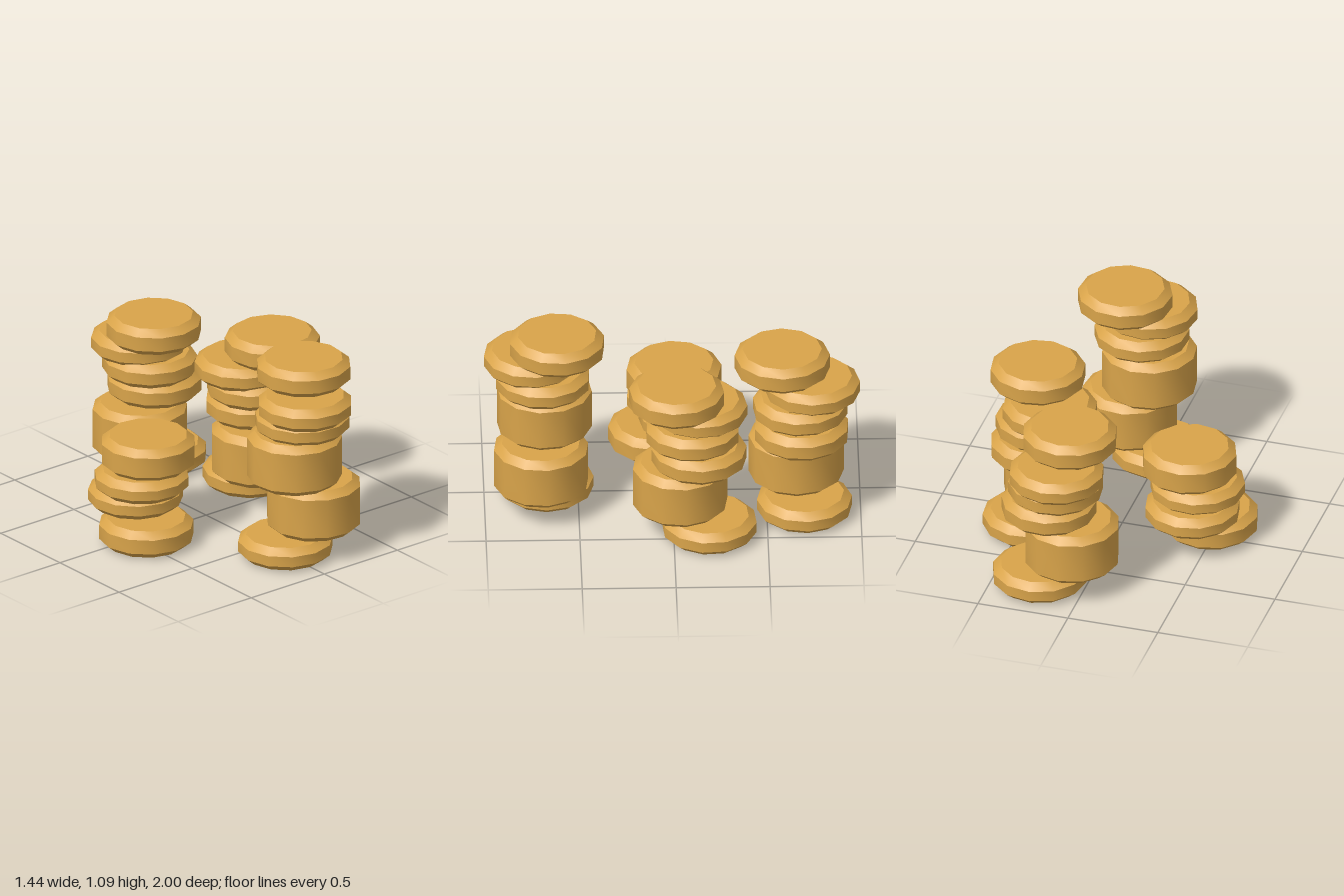
import * as THREE from 'three';
import { toCreasedNormals } from 'three/addons/utils/BufferGeometryUtils.js';

const RADIUS = 0.254, FACE_RADIUS = 0.211, BEVEL = 0.036, SIDES = 12;

// Each coin: [x, z, bottom, top, turn in degrees]
const STACKS = {
  frontStack: [
    [0.0, 0.67, 0, 0.13, 0],
    [0.17, 0.70, 0.13, 0.42, 8],
    [0.055, 0.68, 0.42, 0.71, -7],
    [0.10, 0.69, 0.70, 0.83, 12],
    [0.07, 0.75, 0.81, 0.94, 6],
    [0.17, 0.615, 0.94, 1.085, 9],
  ],
  leftSideStack: [
    [-0.47, 0.075, 0, 0.152, 0],
    [-0.415, -0.085, 0.152, 0.28, -4],
    [-0.425, -0.02, 0.265, 0.39, 10],
    [-0.38, -0.02, 0.387, 0.57, 5],
  ],
  rightSideStack: [
    [0.455, -0.19, 0, 0.13, -10],
    [0.385, -0.035, 0.13, 0.42, 7],
    [0.43, -0.135, 0.42, 0.56, 3],
    [0.41, -0.10, 0.55, 0.685, 14],
    [0.36, -0.14, 0.66, 0.79, -5],
    [0.465, -0.015, 0.79, 0.94, -6],
  ],
  backStack: [
    [0.247, -0.70, 0, 0.13, 4],
    [0.08, -0.66, 0.13, 0.42, 0],
    [0.20, -0.685, 0.42, 0.56, 11],
    [0.165, -0.68, 0.55, 0.685, -8],
    [0.14, -0.745, 0.66, 0.79, -2],
    [0.115, -0.585, 0.79, 0.94, 0],
  ],
};

// Twelve-sided disc with bevelled rims, smooth around and creased at the bevels
function coinGeometry(height) {
  const profile = [
    [0, 0], [FACE_RADIUS, 0], [RADIUS, BEVEL],
    [RADIUS, height - BEVEL], [FACE_RADIUS, height], [0, height],
  ].map(([r, y]) => new THREE.Vector2(r, y));
  return toCreasedNormals(new THREE.LatheGeometry(profile, SIDES), 0.6);
}

export function createModel() {
  const gold = new THREE.MeshStandardMaterial({ color: 0xd9a44a });
  gold.name = 'gold';

  const model = new THREE.Group();
  model.name = 'coinStacks';
  for (const [name, coins] of Object.entries(STACKS)) {
    const stack = new THREE.Group();
    stack.name = name;
    coins.forEach(([x, z, bottom, top, turn], i) => {
      const coin = new THREE.Mesh(coinGeometry(top - bottom), gold);
      coin.name = `coin${i + 1}`;
      coin.position.set(x, bottom, z);
      coin.rotation.y = THREE.MathUtils.degToRad(turn);
      stack.add(coin);
    });
    model.add(stack);
  }
  return model;
}
